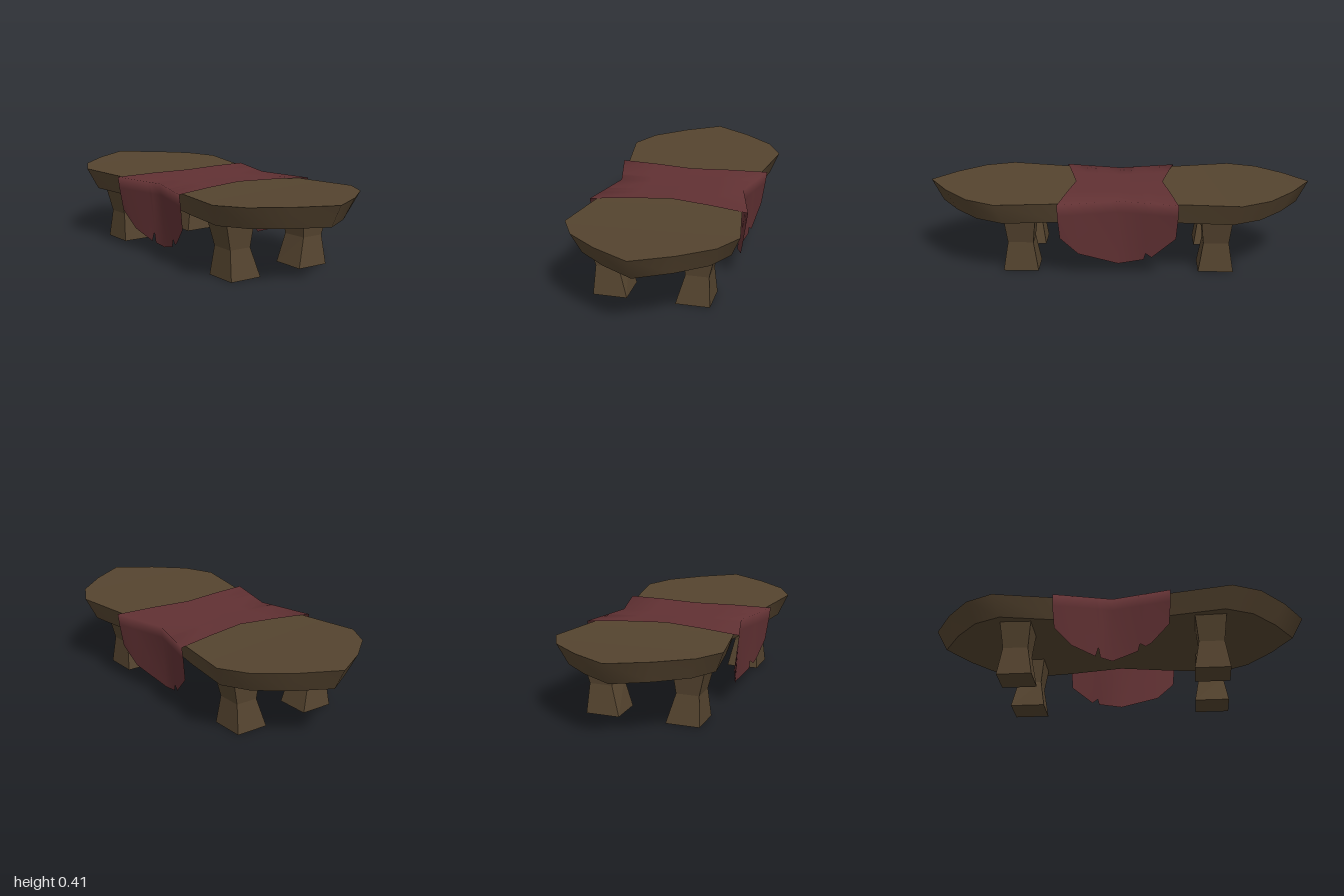
import * as THREE from 'three';
import { mergeVertices } from 'three/addons/utils/BufferGeometryUtils.js';

const wood = new THREE.MeshStandardMaterial({ color: 0x55442f });
wood.name = 'darkWood';
const cloth = new THREE.MeshStandardMaterial({ color: 0x613133, side: THREE.DoubleSide });
cloth.name = 'wineRedCloth';

// Smooth surface through rows of points
function surface(rows) {
  const n = rows[0].length, index = [];
  for (let i = 0; i < rows.length - 1; i++) {
    for (let j = 0; j < n - 1; j++) {
      const a = i * n + j, b = a + n;
      index.push(a, b, a + 1, a + 1, b, b + 1);
    }
  }
  let geo = new THREE.BufferGeometry();
  geo.setAttribute('position', new THREE.Float32BufferAttribute(rows.flat(2), 3));
  geo.setIndex(index);
  geo = mergeVertices(geo, 1e-4);
  geo.computeVertexNormals();
  return geo;
}

function addMesh(parent, name, geo, mat) {
  const mesh = new THREE.Mesh(geo, mat);
  mesh.name = name;
  parent.add(mesh);
  return mesh;
}

// Waisted slab with pointed ends, bevelled inwards underneath
function makeTableTop() {
  const group = new THREE.Group();
  group.name = 'tableTop';
  const half = [[0.32, 0], [0.38, 0.3], [0.43, 0.61], [0.35, 0.76], [0.19, 0.89], [0, 1]];
  const outline = [
    ...half.slice(1).reverse().map(([x, z]) => [x, -z]),
    ...half,
  ];
  const top = (x, z) => [x, 0.385 + 0.023 * z * z, z];
  const bottom = (x, z) => [x * 0.89, 0.278 + 0.017 * z * z, z * 0.94];

  addMesh(group, 'topFace', surface(outline.map(([x, z]) => [top(-x, z), top(x, z)])), wood);
  addMesh(group, 'underside', surface(outline.map(([x, z]) => [bottom(x, z), bottom(-x, z)])), wood);
  const ring = [...outline, ...outline.slice(0, -1).reverse().map(([x, z]) => [-x, z])];
  addMesh(group, 'rim', surface(ring.map(([x, z]) => [top(x, z), bottom(x, z)])), wood);
  return group;
}

// Four-sided leg with a narrow waist; sx and sz choose the corner
function makeLeg(sx, sz) {
  // y, inner x facing the end, inner x facing the middle, outer x, half depth
  const sections = [
    [0, 0.123, 0.123, 0.297, 0.09],
    [0.15, 0.168, 0.157, 0.286, 0.065],
    [0.3, 0.152, 0.141, 0.323, 0.082],
  ];
  let geo = new THREE.BoxGeometry(2, 2, 2, 1, 2, 1);
  const p = geo.attributes.position;
  for (let i = 0; i < p.count; i++) {
    const [y, innerEnd, innerMid, outer, depth] = sections[Math.round(p.getY(i)) + 1];
    const isOuter = p.getX(i) * sx > 0, isEnd = p.getZ(i) * sz > 0;
    const x = isOuter ? outer : isEnd ? innerEnd : innerMid;
    p.setXYZ(i, sx * x - 0.011, y, sz * 0.5 + p.getZ(i) * depth);
  }
  geo = geo.toNonIndexed();
  geo.computeVertexNormals();
  return geo;
}

// Half of the runner: from the centre line over the edge to a torn hem of [z, y] points
function makeRunnerHalf(side, hem) {
  const rows = hem.map(([z, hemY]) => {
    const s = z / 0.29, a = Math.abs(s);
    const edgeX = 0.333 + 0.077 * a, edgeZ = 0.3 * s;
    const row = [
      [0, 0.393 + 0.008 * a, 0.23 * s],
      [side * edgeX * 0.5, 0.393 + 0.005 * a, 0.265 * s],
      [side * edgeX, 0.39, edgeZ],
      [side * (edgeX - 0.008), 0.33, edgeZ],
      [side * (edgeX - 0.025), hemY, z],
    ];
    return side > 0 ? row : row.reverse();
  });
  return surface(rows);
}

export function createModel() {
  const model = new THREE.Group();
  model.name = 'lowTable';
  model.add(makeTableTop());

  for (const sx of [1, -1]) {
    for (const sz of [1, -1]) {
      addMesh(model, `${sz > 0 ? 'front' : 'back'}${sx > 0 ? 'Left' : 'Right'}Leg`, makeLeg(sx, sz), wood);
    }
  }

  // Cloth runner, each hanging end torn differently
  const runner = new THREE.Group();
  runner.name = 'clothRunner';
  const leftHem = [[-0.29, 0.21], [-0.17, 0.1], [-0.14, 0.118], [-0.13, 0.085], [0, 0.05], [0.2, 0.12], [0.29, 0.21]];
  const rightHem = [[-0.29, 0.21], [-0.2, 0.12], [-0.085, 0.07], [-0.07, 0.12], [-0.06, 0.065], [0, 0.05],
    [0.13, 0.085], [0.14, 0.125], [0.17, 0.105], [0.2, 0.12], [0.29, 0.21]];
  addMesh(runner, 'leftRunnerHalf', makeRunnerHalf(1, leftHem), cloth);
  addMesh(runner, 'rightRunnerHalf', makeRunnerHalf(-1, rightHem), cloth);
  model.add(runner);
  return model;
}
